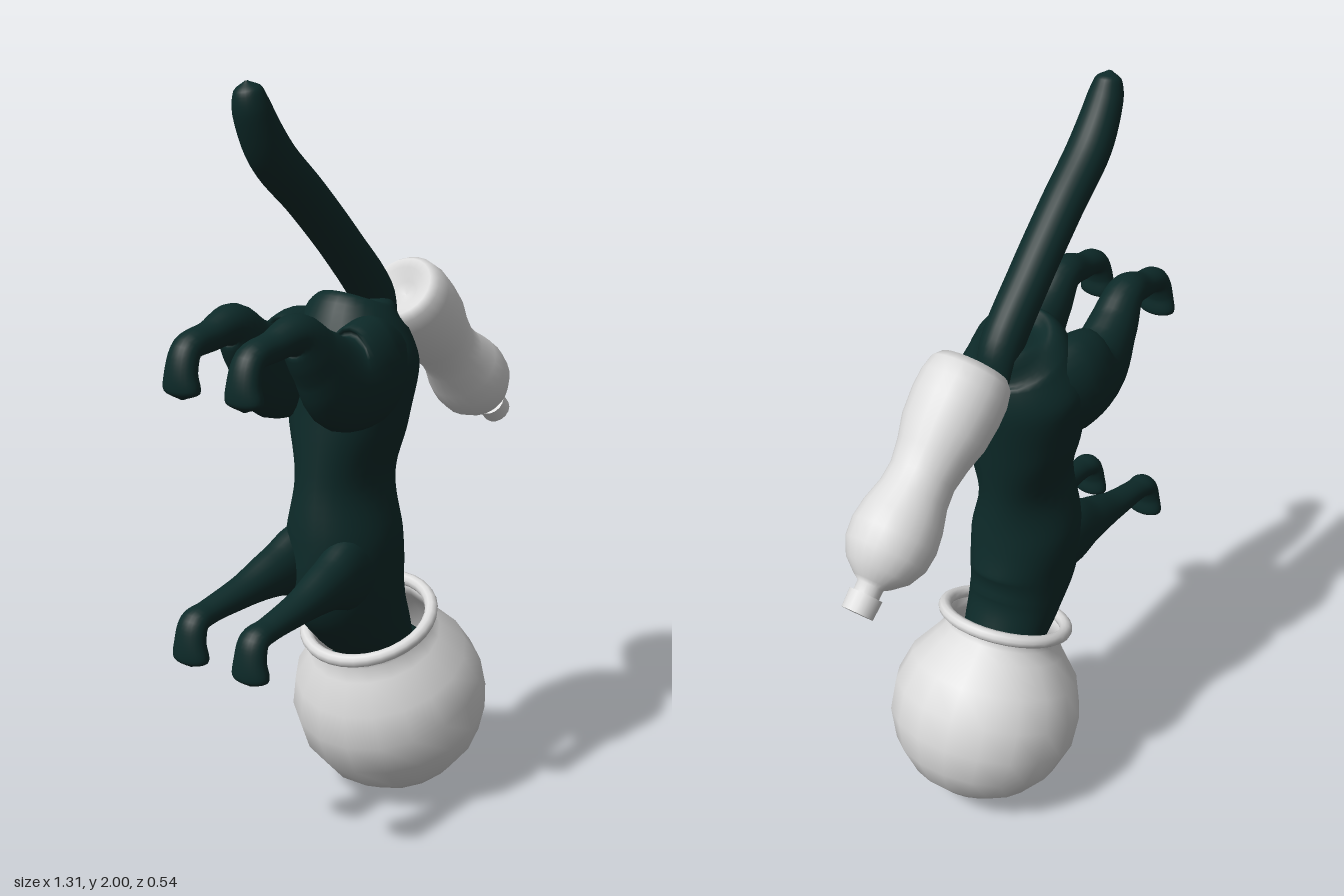
import * as THREE from 'three';

const fur = new THREE.MeshStandardMaterial({ color: 0x0d2a29 });
fur.name = 'dark green fur';
const pale = new THREE.MeshStandardMaterial({ color: 0xdcdcdc, side: THREE.DoubleSide });
pale.name = 'pale grey';

function add(parent, name, geometry, material) {
  const mesh = new THREE.Mesh(geometry, material);
  mesh.name = name;
  parent.add(mesh);
  return mesh;
}

// Smooth tube through sections [x, y, z, in-plane radius, z radius]
function loft(sections, steps = 40, sides = 24) {
  const path = new THREE.CatmullRomCurve3(sections.map(s => new THREE.Vector3(s[0], s[1], s[2])));
  const size = new THREE.CatmullRomCurve3(sections.map(s => new THREE.Vector3(s[3], s[4], 0)), false, 'catmullrom', 0.4);
  const pos = [], index = [];
  for (let i = 0; i <= steps; i++) {
    const p = path.getPoint(i / steps), t = path.getTangent(i / steps), r = size.getPoint(i / steps);
    const len = Math.hypot(t.x, t.y) || 1;
    for (let j = 0; j < sides; j++) {
      const a = (j / sides) * Math.PI * 2, c = Math.cos(a) * r.x;
      pos.push(p.x - (t.y / len) * c, p.y + (t.x / len) * c, p.z + Math.sin(a) * r.y);
      if (i < steps) {
        const k = (j + 1) % sides, A = i * sides + j, B = i * sides + k;
        index.push(A, B, B + sides, A, B + sides, A + sides);
      }
    }
  }
  const g = new THREE.BufferGeometry();
  g.setAttribute('position', new THREE.Float32BufferAttribute(pos, 3));
  g.setIndex(index);
  g.computeVertexNormals();
  return g;
}

const lathe = (profile, sides) => new THREE.LatheGeometry(profile.map(p => new THREE.Vector2(p[0], p[1])), sides);

export function createModel() {
  const model = new THREE.Group();
  model.name = 'upside down cat';

  // Cat
  const cat = new THREE.Group();
  cat.name = 'cat';
  cat.position.z = -0.004;
  model.add(cat);

  // Torso from rump down to neck
  add(cat, 'torso', loft([
    [-0.05, 1.437, 0, 0.005, 0.005],
    [-0.05, 1.425, 0, 0.1, 0.08],
    [-0.07, 1.38, 0, 0.14, 0.135],
    [-0.09, 1.28, 0, 0.165, 0.18],
    [-0.105, 1.13, 0, 0.162, 0.155],
    [-0.12, 0.97, 0, 0.16, 0.113],
    [-0.125, 0.81, 0, 0.172, 0.145],
    [-0.11, 0.68, 0, 0.18, 0.137],
    [-0.07, 0.59, 0, 0.15, 0.127],
    [-0.025, 0.52, 0, 0.12, 0.12],
    [0.03, 0.42, 0, 0.1, 0.1],
  ], 60, 32), fur);

  // Head hidden in the bowl
  add(cat, 'head', new THREE.SphereGeometry(0.17, 24, 16), fur).position.set(0.06, 0.32, 0);
  for (const side of [1, -1]) {
    const ear = add(cat, 'ear', new THREE.ConeGeometry(0.05, 0.1, 12), fur);
    ear.position.set(0.11, 0.17, side * 0.09);
    ear.rotation.x = Math.PI - side * 0.3;
  }

  // Tail
  add(cat, 'tail', loft([
    [0.035, 1.34, 0, 0.04, 0.05],
    [0.0, 1.43, 0, 0.06, 0.056],
    [-0.13, 1.575, 0, 0.056, 0.057],
    [-0.27, 1.71, 0, 0.056, 0.057],
    [-0.4, 1.825, 0, 0.057, 0.057],
    [-0.465, 1.93, 0, 0.047, 0.048],
    [-0.48, 1.98, 0, 0.034, 0.034],
    [-0.485, 2.0, 0, 0.003, 0.003],
  ]), fur);

  // Legs, mirrored across z
  for (const s of [1, -1]) {
    const hind = [
      [-0.04, 1.28, 0.08, 0.1, 0.08],
      [-0.16, 1.275, 0.108, 0.14, 0.09],
      [-0.28, 1.27, 0.11, 0.125, 0.078],
      [-0.37, 1.345, 0.105, 0.08, 0.065],
      [-0.44, 1.413, 0.1, 0.054, 0.052],
      [-0.53, 1.4, 0.097, 0.038, 0.038],
      [-0.605, 1.385, 0.097, 0.034, 0.04],
      [-0.628, 1.335, 0.097, 0.032, 0.045],
      [-0.628, 1.285, 0.097, 0.031, 0.052],
      [-0.628, 1.265, 0.097, 0.004, 0.004],
    ];
    const front = [
      [-0.1, 0.74, 0.06, 0.1, 0.07],
      [-0.22, 0.745, 0.078, 0.105, 0.062],
      [-0.32, 0.737, 0.086, 0.068, 0.054],
      [-0.44, 0.718, 0.093, 0.042, 0.042],
      [-0.56, 0.703, 0.097, 0.031, 0.035],
      [-0.612, 0.692, 0.097, 0.032, 0.04],
      [-0.628, 0.65, 0.097, 0.031, 0.045],
      [-0.628, 0.6, 0.097, 0.031, 0.052],
      [-0.628, 0.58, 0.097, 0.004, 0.004],
    ];
    for (const [name, sections] of [['hindLeg', hind], ['frontLeg', front]])
      add(cat, name, loft(sections.map(([x, y, z, a, b]) => [x, y, s * z, a, b]), 45), fur);
  }

  // Round bowl, tilted, open at the neck
  const bowl = new THREE.Group();
  bowl.name = 'bowl';
  bowl.position.set(0.075, 0.278, 0);
  bowl.rotation.z = 0.37;
  model.add(bowl);
  const bowlProfile = [[0, -0.276]];
  for (let i = 1; i <= 7; i++) {
    const a = (i / 7) * 2.4;
    bowlProfile.push([0.274 * Math.sin(a), -0.274 * Math.cos(a)]);
  }
  bowlProfile.push([0.163, 0.235], [0.163, 0.262], [0.176, 0.277]);
  add(bowl, 'bowlBody', lathe(bowlProfile, 18), pale);
  const rim = add(bowl, 'bowlRim', new THREE.TorusGeometry(0.176, 0.018, 10, 32), pale);
  rim.rotation.x = Math.PI / 2;
  rim.position.y = 0.277;

  // Bottle with waist and screw cap
  const bottle = new THREE.Group();
  bottle.name = 'bottle';
  bottle.position.set(0.125, 1.43, -0.008);
  bottle.rotation.z = -2.3;
  model.add(bottle);
  add(bottle, 'bottleBody', lathe([
    [0, 0.04], [0.035, 0.03], [0.065, 0.003], [0.09, 0], [0.108, 0.02], [0.117, 0.06], [0.118, 0.11],
    [0.112, 0.18], [0.096, 0.24], [0.086, 0.3], [0.09, 0.35], [0.106, 0.41],
    [0.113, 0.46], [0.108, 0.51], [0.085, 0.555], [0.05, 0.585], [0.034, 0.595], [0.034, 0.63],
  ], 24), pale);
  add(bottle, 'bottleCap', new THREE.CylinderGeometry(0.042, 0.044, 0.05, 16), pale).position.y = 0.645;

  return model;
}
